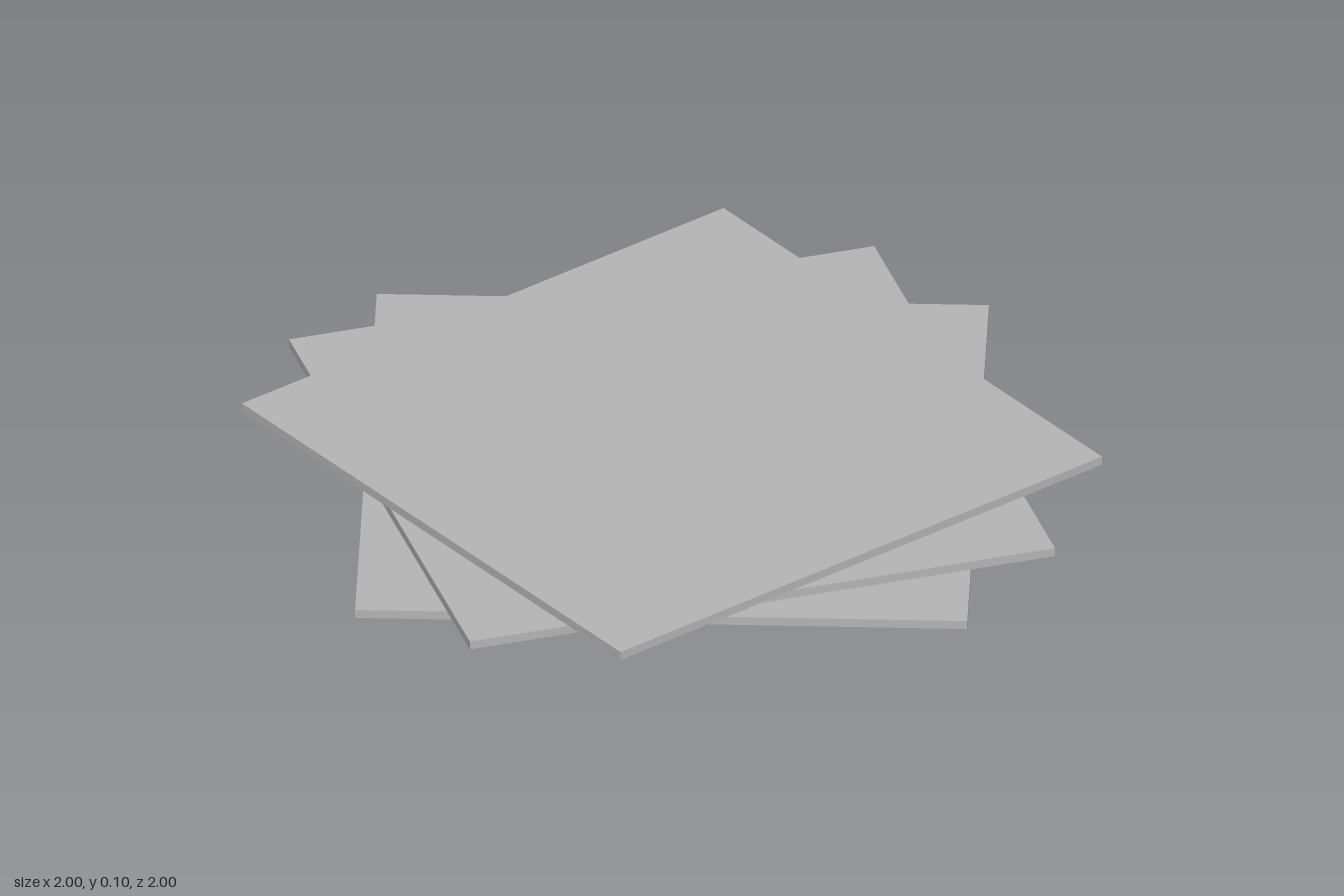
import * as THREE from 'three';

export function createModel() {
  const model = new THREE.Group();
  const grey = new THREE.MeshStandardMaterial({ color: 0xb4b4b4 });
  grey.name = 'plain grey';

  // Three equal square plates, stacked with small gaps and twisted in turn
  const side = 1.419, thickness = 0.0215, spacing = 0.0372;
  const plate = new THREE.BoxGeometry(side, thickness, side);
  const plates = [
    ['bottomPlate', -40.2],
    ['middlePlate', -21],
    ['topPlate', 0],
  ];
  plates.forEach(([name, degrees], i) => {
    const mesh = new THREE.Mesh(plate, grey);
    mesh.name = name;
    mesh.position.y = thickness / 2 + i * spacing;
    mesh.rotation.y = THREE.MathUtils.degToRad(degrees);
    model.add(mesh);
  });
  return model;
}
